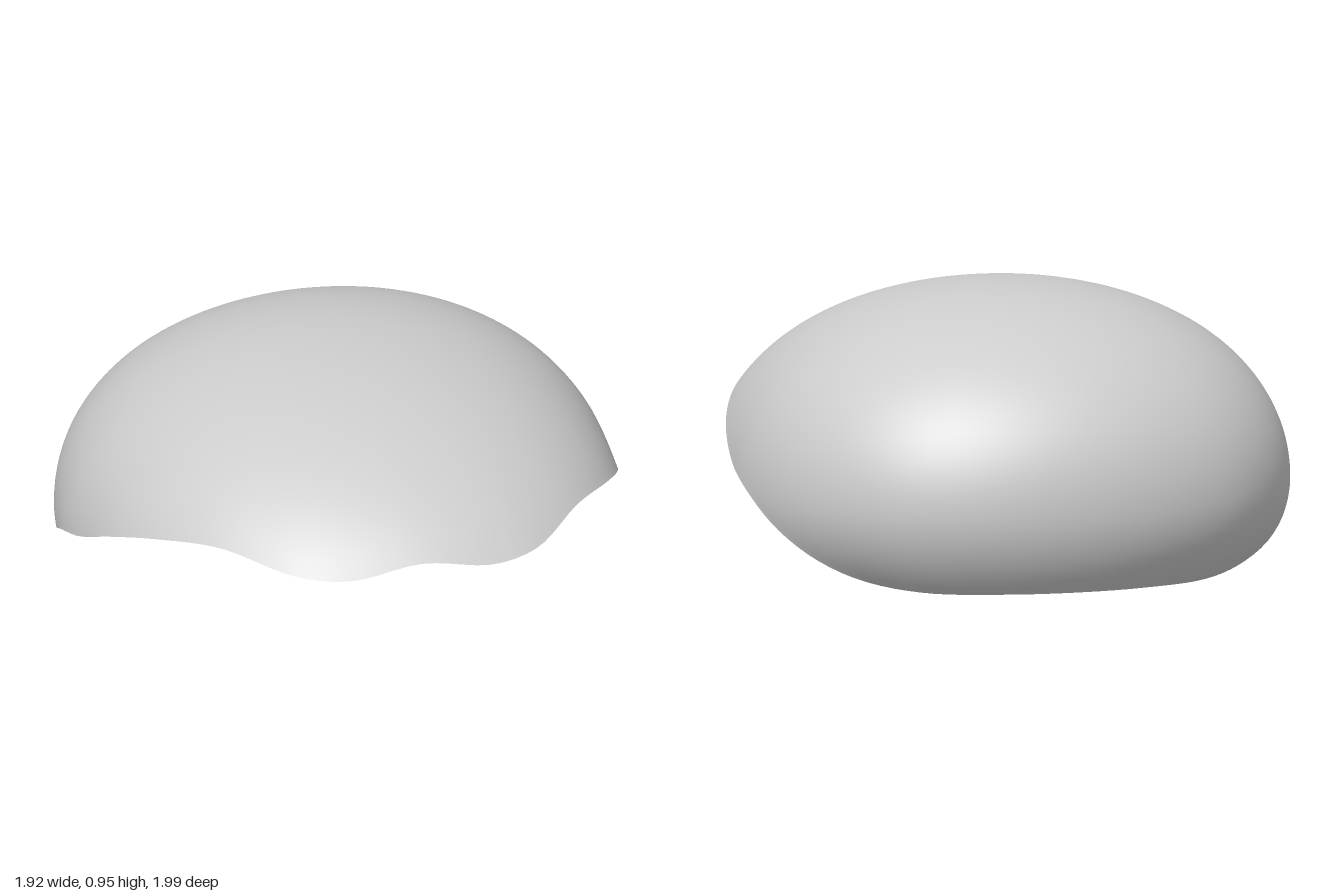
import * as THREE from 'three';

// Half of the opening's edge, from front centre round to back centre
const HALF_RIM = [
  [0, 0.59, 0.985], [0.25, 0.555, 0.985], [0.42, 0.56, 0.92], [0.63, 0.59, 0.70],
  [0.8, 0.54, 0.48], [0.9, 0.46, 0.27], [0.95, 0.36, 0.05], [0.96, 0.29, -0.15],
  [0.91, 0.18, -0.36], [0.81, 0.09, -0.50], [0.68, 0.03, -0.61], [0.5, 0.002, -0.75],
  [0.25, 0, -0.85], [0, 0, -0.88],
];
const CENTRE = new THREE.Vector3(0, 0.28, -0.07);

// Dome radii differ above/below and front/back of its centre
const radii = (y, z) => [0.96, y > 0 ? 0.67 : 0.57, z > 0 ? 1.197 : 0.93];

// Slight squareness of the dome's shoulders, fuller at the back
function bulge(d) {
  const [x2, y2, z2] = [d.x * d.x, d.y * d.y, d.z * d.z];
  const back = d.z < 0;
  return 1 + (back ? 0.14 : 0.08) * x2 * z2 + 0.08 * x2 * y2 + (back ? 0.09 : 0) * y2 * z2;
}

function rimCurve() {
  const mirrored = HALF_RIM.slice(1, -1).reverse().map(([x, y, z]) => [-x, y, z]);
  const points = [...HALF_RIM, ...mirrored].map(([x, y, z]) =>
    new THREE.Vector3(x, y, z + 0.03 * x * Math.max(0, z)));
  return new THREE.CatmullRomCurve3(points, true, 'centripetal');
}

// Open dome: meridians sweep from the crown down to the wavy rim
function domeGeometry(around = 128, down = 40) {
  const rim = rimCurve();
  const crown = new THREE.Vector3(0, 1, 0);
  const positions = [CENTRE.x, CENTRE.y + 0.67, CENTRE.z];
  const index = [];
  for (let j = 0; j < around; j++) {
    const end = rim.getPointAt(j / around).sub(CENTRE);
    const [ra, rb, rc] = radii(end.y, end.z);
    end.set(end.x / ra, end.y / rb, end.z / rc);
    const length = end.length();
    end.normalize();
    const angle = crown.angleTo(end);
    const axis = new THREE.Vector3().crossVectors(crown, end).normalize();
    const correction = length - bulge(end);
    for (let i = 1; i <= down; i++) {
      const t = i / down;
      const d = crown.clone().applyAxisAngle(axis, angle * t);
      const s = bulge(d) + correction * t ** 4;
      const [a, b, c] = radii(d.y, d.z);
      positions.push(CENTRE.x + d.x * a * s, CENTRE.y + d.y * b * s, CENTRE.z + d.z * c * s);
    }
    const p = 1 + j * down;
    const q = 1 + ((j + 1) % around) * down;
    index.push(0, p, q);
    for (let i = 0; i < down - 1; i++) {
      index.push(p + i, p + i + 1, q + i + 1, p + i, q + i + 1, q + i);
    }
  }
  const geometry = new THREE.BufferGeometry();
  geometry.setAttribute('position', new THREE.Float32BufferAttribute(positions, 3));
  geometry.setIndex(index);
  geometry.computeVertexNormals();
  return geometry;
}

export function createModel() {
  const grey = new THREE.MeshStandardMaterial({ color: 0xcccccc, side: THREE.DoubleSide });
  grey.name = 'light grey';
  const shell = new THREE.Mesh(domeGeometry(), grey);
  shell.name = 'domeShell';
  const model = new THREE.Group();
  model.name = 'openDome';
  model.add(shell);
  return model;
}
